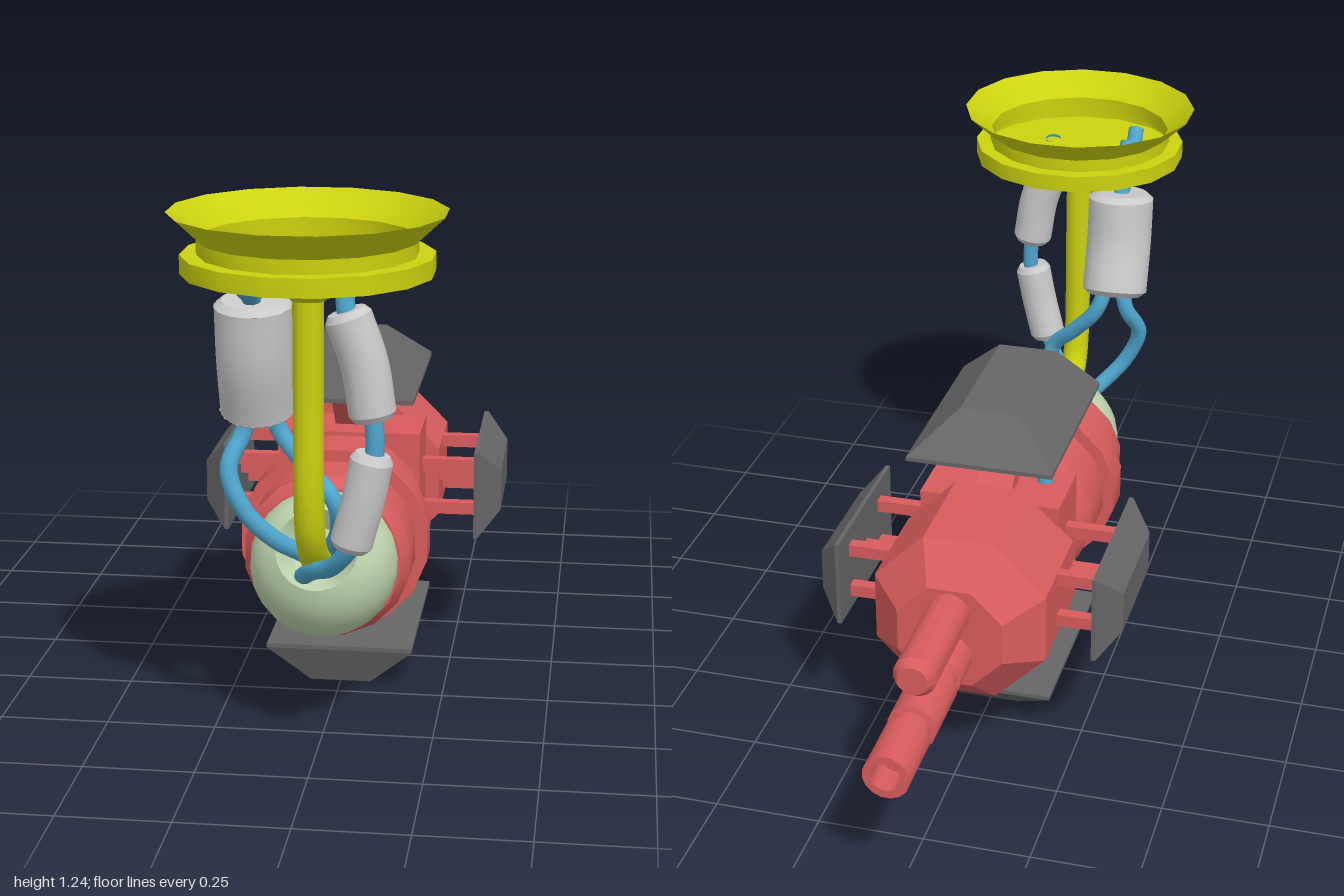
import * as THREE from 'three';
import { toCreasedNormals } from 'three/addons/utils/BufferGeometryUtils.js';

const mat = (color) => new THREE.MeshStandardMaterial({ color, side: THREE.DoubleSide });
const red = mat(0xd95c5c), yellow = mat(0xcdd20f), blue = mat(0x4fa8d0);
const green = mat(0xbfd6ad), dark = mat(0x666666), grey = mat(0xcccccc);
const V = (a) => a.map((p) => new THREE.Vector3(...p));

function add(parent, name, geo, material, x = 0, y = 0, z = 0) {
  const m = new THREE.Mesh(geo, material);
  m.name = name;
  m.position.set(x, y, z);
  parent.add(m);
  return m;
}

// Turned solid from [radius, height] pairs, listed from low to high
function turned(points, sides = 16, crease = 0.45) {
  const g = new THREE.LatheGeometry(points.map((p) => new THREE.Vector2(...p)), sides, Math.PI / sides);
  return toCreasedNormals(g, crease);
}
// Same, with the height running along z
const turnedZ = (points, sides, crease) => turned(points, sides, crease).rotateX(Math.PI / 2);

const tube = (pts, r, steps = 32, sides = 10) =>
  new THREE.TubeGeometry(new THREE.CatmullRomCurve3(V(pts)), steps, r, sides);

// Thick sleeve round a hose: tube with a disc at each end
function sleeve(parent, name, pts, r) {
  const curve = new THREE.CatmullRomCurve3(V(pts));
  const g = new THREE.Group();
  g.name = name;
  add(g, name + 'Wall', new THREE.TubeGeometry(curve, 8, r, 14), grey);
  for (const t of [0, 1]) {
    const dir = curve.getTangent(t).multiplyScalar(t ? 1 : -1);
    const p = curve.getPoint(t);
    const cap = add(g, name + 'Cap', new THREE.CylinderGeometry(r * 0.8, r, 0.014, 14), grey);
    cap.position.copy(p).addScaledVector(dir, 0.007);
    cap.quaternion.setFromUnitVectors(new THREE.Vector3(0, 1, 0), dir);
  }
  parent.add(g);
}

// Bevelled plate: base rectangle with a thin lip, narrowing to a smaller top
function plate(halfW, z0, z1, height, topHalfW, t0, t1) {
  const g = new THREE.BoxGeometry(2, 2, 2, 1, 2, 1);
  const p = g.attributes.position;
  for (let i = 0; i < p.count; i++) {
    const top = p.getY(i) > 0.5;
    const y = top ? height : p.getY(i) > -0.5 ? 0.01 : 0;
    const front = p.getZ(i) > 0;
    p.setXYZ(i, p.getX(i) * (top ? topHalfW : halfW), y, top ? (front ? t1 : t0) : (front ? z1 : z0));
  }
  const flat = g.toNonIndexed();
  flat.computeVertexNormals();
  return flat;
}

export function createModel() {
  const root = new THREE.Group();
  root.name = 'hangingTurret';

  // Ceiling dish, its collar and the bent support pole
  add(root, 'ceilingDish', turned([
    [0, 1.11], [0.265, 1.11], [0.265, 1.15], [0.23, 1.15], [0.23, 1.18], [0.292, 1.238],
    [0.226, 1.183], [0.226, 1.147], [0.26, 1.147], [0.26, 1.118], [0, 1.118],
  ]), yellow, 0, 0, 0.705);
  add(root, 'poleCollar', turned([[0, 1.05], [0.035, 1.05], [0.078, 1.085], [0.078, 1.128], [0, 1.128]]),
    yellow, 0, 0, 0.705);
  add(root, 'supportPole', tube([
    [0, 1.1, 0.71], [0, 0.85, 0.71], [0, 0.6, 0.71], [0, 0.52, 0.685], [0, 0.46, 0.62], [0, 0.42, 0.54],
  ], 0.033, 40, 12), yellow);

  // Ball joint with a hollow socket tilted up to the front
  const ball = [];
  for (let i = 0; i <= 14; i++) {
    const a = -Math.PI / 2 + (i / 14) * (Math.PI / 2 + 0.99);
    ball.push([Math.cos(a) * 0.166, Math.sin(a) * 0.166]);
  }
  ball.push([0.075, 0.115], [0.06, 0.09], [0, 0.08]);
  add(root, 'ballJoint', turned(ball, 24, 0.5), green, 0, 0.4, 0.475).rotation.x = Math.PI / 3;

  // Body: ringed drum, neck, block and octagonal head
  add(root, 'bodyDrum', turnedZ([
    [0, 0], [0.15, 0], [0.15, 0.04], [0.165, 0.04], [0.192, 0.08], [0.192, 0.215], [0.22, 0.215],
    [0.22, 0.3], [0.192, 0.3], [0.192, 0.415], [0.172, 0.45], [0, 0.45],
  ]), red, 0, 0.395);
  add(root, 'neckBlock', new THREE.BoxGeometry(0.34, 0.34, 0.18), red, 0, 0.4, -0.09);
  add(root, 'gunHead', turnedZ([
    [0, -0.522], [0.134, -0.522], [0.22, -0.435], [0.22, -0.172], [0, -0.172],
  ], 8, 0.1), red, 0, 0.4);

  // Upper blunt barrel and lower stepped barrel with a bored muzzle
  add(root, 'upperBarrel', turnedZ([
    [0, -0.806], [0.035, -0.806], [0.05, -0.785], [0.05, -0.5], [0, -0.5],
  ]), red, 0, 0.466);
  add(root, 'lowerBarrel', turnedZ([
    [0, -0.93], [0.034, -0.93], [0.034, -1], [0.053, -1], [0.053, -0.848], [0.043, -0.845], [0.043, -0.818],
    [0.056, -0.815], [0.056, -0.652], [0.045, -0.645], [0.045, -0.622], [0.054, -0.618], [0.054, -0.5],
  ]), red, 0, 0.352);

  // Large armour plates above and below, each on a slanted strut with a hose
  for (const i of [0, 1]) {
    const mount = new THREE.Group();
    mount.name = i ? 'lowerArmour' : 'upperArmour';
    mount.position.y = 0.4;
    mount.rotation.z = i * Math.PI;
    add(mount, 'armourPlate', plate(0.174, -0.273, 0.217, 0.1, 0.072, -0.17, 0.182), dark, 0, 0.3, 0);
    add(mount, 'armourStrut', new THREE.BoxGeometry(0.088, 0.25, 0.05), red, 0, 0.222, -0.058).rotation.x = 0.75;
    add(mount, 'armourHose', tube([
      [-0.04, 0.31, -0.02], [-0.08, 0.26, -0.035], [-0.105, 0.2, -0.05], [-0.1, 0.1, -0.06],
    ], 0.02, 16), blue);
    root.add(mount);
  }

  // Side armour plates on short pins
  for (const s of [-1, 1]) {
    const side = new THREE.Group();
    side.name = s > 0 ? 'leftArmour' : 'rightArmour';
    const p = add(side, 'sidePlate', plate(0.108, -0.4, -0.005, 0.063, 0.05, -0.345, -0.06), dark, s * 0.302, 0.418);
    p.rotation.z = -s * Math.PI / 2;
    for (const [y, z] of [[0.47, -0.315], [0.36, -0.315], [0.413, -0.21], [0.47, -0.097], [0.36, -0.097]])
      add(side, 'platePin', new THREE.BoxGeometry(0.17, 0.03, 0.028), red, s * 0.225, y, z);
    root.add(side);
  }

  // Single hose on the left with two sleeves
  add(root, 'leftHose', tube([
    [0.085, 1.122, 0.77], [0.09, 1.04, 0.785], [0.13, 0.93, 0.785], [0.145, 0.83, 0.785], [0.147, 0.74, 0.785],
    [0.125, 0.64, 0.79], [0.098, 0.545, 0.785], [0.05, 0.48, 0.735], [0, 0.445, 0.665], [-0.03, 0.41, 0.6],
  ], 0.02, 60), blue);
  sleeve(root, 'upperSleeve', [[0.093, 1.035, 0.785], [0.126, 0.94, 0.785], [0.143, 0.835, 0.785]], 0.05);
  sleeve(root, 'lowerSleeve', [[0.142, 0.735, 0.79], [0.125, 0.65, 0.79], [0.1, 0.555, 0.785]], 0.046);

  // Two hoses on the right sharing one large sleeve
  add(root, 'rightHoseOuter', tube([
    [-0.125, 1.15, 0.82], [-0.125, 1.09, 0.77], [-0.125, 1.03, 0.66], [-0.135, 0.85, 0.62], [-0.155, 0.74, 0.6],
    [-0.185, 0.66, 0.635], [-0.15, 0.57, 0.645], [-0.09, 0.5, 0.62], [-0.03, 0.45, 0.57],
  ], 0.02, 60), blue);
  add(root, 'rightHoseInner', tube([
    [-0.125, 1.15, 0.72], [-0.125, 1.08, 0.67], [-0.125, 1, 0.64], [-0.11, 0.85, 0.61], [-0.085, 0.74, 0.58],
    [-0.02, 0.66, 0.6], [0.045, 0.59, 0.63], [0.05, 0.52, 0.6], [0.02, 0.45, 0.55],
  ], 0.02, 60), blue);
  sleeve(root, 'largeSleeve', [[-0.125, 1.025, 0.65], [-0.125, 0.91, 0.635], [-0.125, 0.79, 0.595]], 0.084);

  return root;
}
